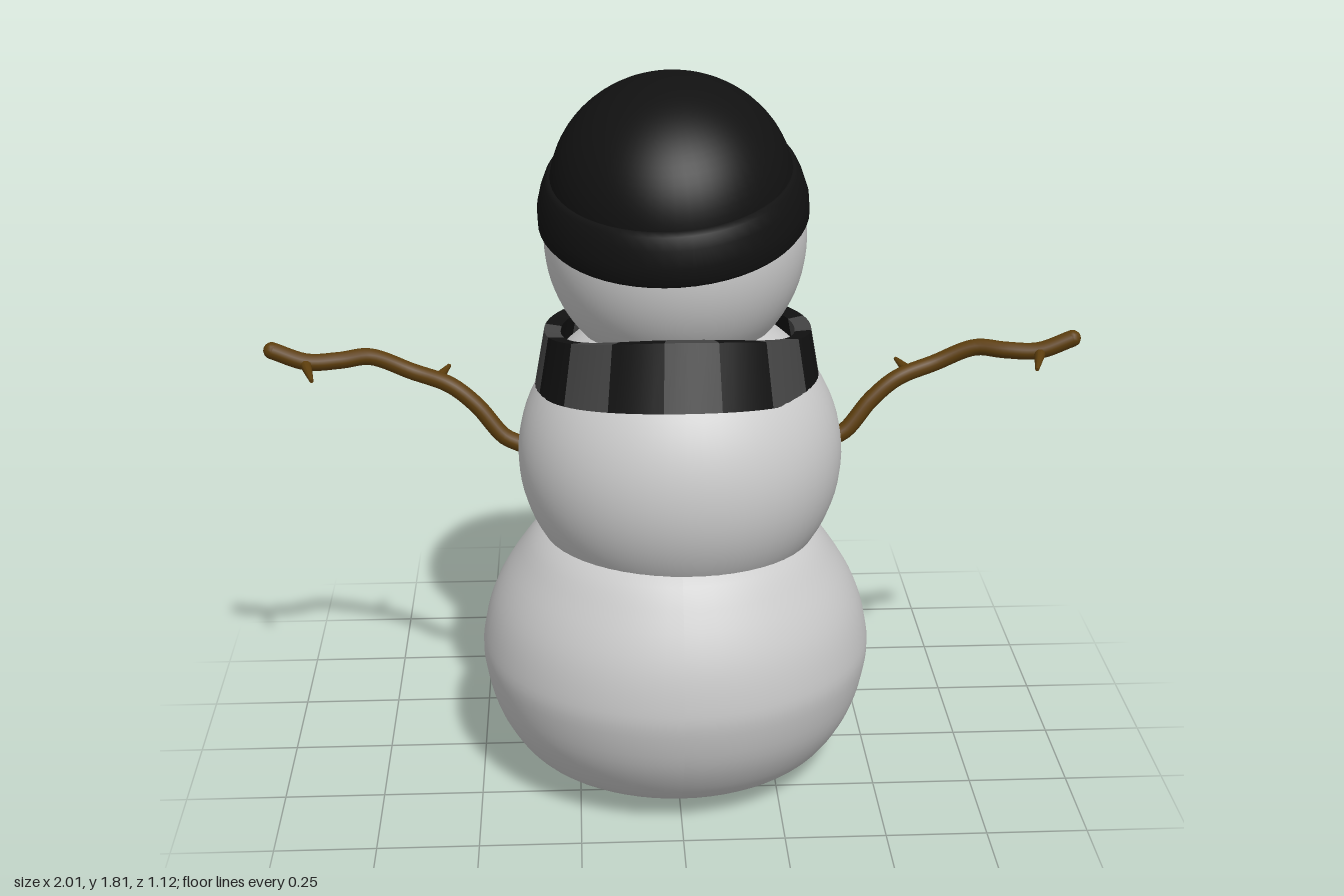
import * as THREE from 'three';
import { toCreasedNormals } from 'three/addons/utils/BufferGeometryUtils.js';

const V = (x, y, z) => new THREE.Vector3(x, y, z);
const paint = (color) => new THREE.MeshStandardMaterial({ color });

export function createModel() {
  const model = new THREE.Group();
  const snow = paint(0xcccccc), black = paint(0x111111), grey = paint(0x444444);
  const wood = paint(0x5c3d0c), carrot = paint(0xe8750a);

  const add = (name, geometry, material, parent = model) => {
    const mesh = new THREE.Mesh(geometry, material);
    mesh.name = name;
    parent.add(mesh);
    return mesh;
  };
  // Move every vertex by a rule
  const deform = (geometry, rule) => {
    const p = geometry.attributes.position, v = V();
    for (let i = 0; i < p.count; i++) {
      rule(v.fromBufferAttribute(p, i));
      p.setXYZ(i, v.x, v.y, v.z);
    }
    geometry.computeVertexNormals();
    return geometry;
  };
  // Closed strip through four-cornered sections
  const loft = (sections) => {
    const pos = [];
    const quad = (a, b, c, d) => [a, b, c, a, c, d].forEach((p) => pos.push(p.x, p.y, p.z));
    for (let i = 0; i < sections.length - 1; i++) {
      const s = sections[i], t = sections[i + 1];
      for (let j = 0; j < 4; j++) quad(s[j], t[j], t[(j + 1) % 4], s[(j + 1) % 4]);
    }
    quad(...sections[0]);
    quad(...[...sections[sections.length - 1]].reverse());
    const g = new THREE.BufferGeometry();
    g.setAttribute('position', new THREE.Float32BufferAttribute(pos, 3));
    return toCreasedNormals(g, 0.7);
  };

  // Base snowball: leaning lathe with a slightly sloped, dished underside
  const basePoints = [[0, 0.06], [0.2, 0.035], [0.3, 0.024], [0.36, 0.045], [0.415, 0.1], [0.465, 0.2], [0.491, 0.32],
    [0.4875, 0.4], [0.46, 0.5], [0.405, 0.6], [0.33, 0.69], [0.2, 0.75], [0, 0.78]];
  const baseCurve = new THREE.SplineCurve(basePoints.map(([r, y]) => new THREE.Vector2(r, y)));
  const baseProfile = baseCurve.getPoints(48).map((p) => p.setX(Math.max(p.x, 0)));
  add('baseSnowball', deform(new THREE.LatheGeometry(baseProfile, 64), (v) => {
    v.z += 0.03 + 0.1 * v.y;
    v.y += 0.06 * (v.z - 0.05) * Math.max(0, 1 - v.y / 0.25);
  }), snow);

  // Body and head snowballs
  const body = add('bodySnowball', new THREE.SphereGeometry(1, 56, 40), snow);
  body.scale.set(0.4, 0.38, 0.392);
  body.position.set(0.01, 0.88, 0.092);
  add('head', deform(new THREE.SphereGeometry(1, 56, 40), (v) => {
    v.set(v.x * 0.317, 1.42 + v.y * (v.y > 0 ? 0.297 : 0.33), 0.055 + v.z * 0.325);
  }), snow);
  const onFace = (x, y, out = 0) => {
    const h = (y - 1.42) / (y > 1.42 ? 0.297 : 0.33);
    return V(x, y, 0.055 - 0.325 * Math.sqrt(1 - (x / 0.317) ** 2 - h * h) - out);
  };

  // Knitted cap: turned-up brim and dome, tilted back
  const hat = new THREE.Group();
  hat.name = 'hat';
  hat.position.set(-0.005, 1.475, 0.082);
  hat.rotation.set(0.2, 0, 0.06);
  hat.scale.x = 0.905;
  model.add(hat);
  const brim = [[0.3, 0.03], [0.33, 0.002], [0.35, 0], [0.358, 0.01], [0.357, 0.05], [0.345, 0.09],
    [0.332, 0.118], [0.322, 0.126], [0.31, 0.124], [0.295, 0.11]];
  add('hatBrim', new THREE.LatheGeometry(brim.map(([r, y]) => new THREE.Vector2(r, y)), 56), black, hat);
  const dome = [];
  for (let i = 0; i <= 20; i++) {
    const a = (i / 20) * Math.PI / 2;
    dome.push(new THREE.Vector2(i === 20 ? 0 : 0.322 * Math.cos(a), 0.08 + 0.262 * Math.sin(a)));
  }
  add('hatDome', new THREE.LatheGeometry(dome, 56), black, hat);

  // Scarf ring: alternating stripes, higher at the rear
  const scarf = new THREE.Group();
  scarf.name = 'scarf';
  model.add(scarf);
  const ringSection = (a) => {
    const s = Math.sin(a), c = Math.cos(a), lift = Math.max(0, c) ** 2;
    const at = (rx, rz, y) => V(0.005 + rx * s, y, 0.08 + rz * c);
    const low = 1.055 + 0.045 * lift, high = 1.195 + 0.06 * lift;
    return [at(0.35, 0.345, low), at(0.325, 0.292, high), at(0.285, 0.255, high - 0.005), at(0.31, 0.305, low + 0.01)];
  };
  const stripes = 16, steps = 5, stripeAngle = (Math.PI * 2) / stripes;
  for (let i = 0; i < stripes; i++) {
    const sections = [];
    for (let k = 0; k <= steps; k++) sections.push(ringSection((i - 0.35 + k / steps) * stripeAngle));
    add('scarfStripe', loft(sections), i % 2 ? black : grey, scarf);
  }

  // Scarf tail: wraps under the chin and hangs over the chest
  const tailPath = new THREE.CatmullRomCurve3([V(0.15, 1.15, -0.205), V(0.05, 1.11, -0.272),
    V(-0.06, 1.04, -0.293), V(-0.125, 0.965, -0.297), V(-0.15, 0.895, -0.285)]);
  const tailSection = (u) => {
    const c = tailPath.getPointAt(u), t = tailPath.getTangentAt(u);
    const n = V(c.x, 0.04, c.z - 0.08).normalize();
    const w = n.clone().cross(t).normalize().multiplyScalar(0.07);
    n.multiplyScalar(0.014);
    const corner = (i, j) => c.clone().addScaledVector(w, i).addScaledVector(n, j);
    return [corner(-1, 1), corner(1, 1), corner(1, -1), corner(-1, -1)];
  };
  [[0, 0.25, grey], [0.25, 0.62, black], [0.62, 1, grey]].forEach(([from, to, material]) => {
    const sections = [];
    for (let k = 0; k <= 8; k++) sections.push(tailSection(from + (to - from) * k / 8));
    add('scarfTail', loft(sections), material, scarf);
  });

  // Carrot nose
  const noseProfile = [[0, 0], [0.04, 0], [0.039, 0.04], [0.03, 0.13], [0.018, 0.23], [0.008, 0.3], [0, 0.31]];
  const nose = add('nose', new THREE.LatheGeometry(noseProfile.map(([r, y]) => new THREE.Vector2(r, y)), 20), carrot);
  nose.position.set(-0.008, 1.402, -0.25);
  nose.rotation.x = -Math.PI / 2;

  // Mouth beads
  for (let i = -4; i <= 4; i++) {
    const bead = add('mouthBead', new THREE.SphereGeometry(0.014, 12, 8), black);
    bead.position.copy(onFace(i * 0.03, 1.243 + 0.0035 * i * i));
  }

  // Branch between two points, tapering to a blunt tip
  const twig = (a, b, radius) => {
    const d = b.clone().sub(a);
    const mesh = add('twig', new THREE.CylinderGeometry(radius * 0.3, radius, d.length(), 10), wood);
    mesh.position.copy(a).addScaledVector(d, 0.5);
    mesh.quaternion.setFromUnitVectors(V(0, 1, 0), d.normalize());
  };

  for (const s of [-1, 1]) {
    // Eyes and brows
    const eye = add('eye', new THREE.SphereGeometry(1, 20, 14), black);
    eye.scale.set(0.034, 0.042, 0.018);
    eye.position.copy(onFace(s * 0.09, 1.472));
    eye.rotation.y = s * 0.3;
    const browPath = new THREE.CatmullRomCurve3([onFace(s * 0.04, 1.518, 0.006),
      onFace(s * 0.09, 1.536, 0.008), onFace(s * 0.145, 1.518, 0.006)]);
    add('brow', new THREE.TubeGeometry(browPath, 12, 0.011, 8), black);

    // Branch arms with rounded ends
    const path = [[0.385, 0.89, 0.065], [0.425, 0.91, 0.062], [0.49, 0.985, 0.045], [0.555, 1.035, 0.03],
      [0.65, 1.065, 0.008], [0.75, 1.108, 0.016], [0.82, 1.11, 0.045], [0.9, 1.113, 0.062],
      [0.982, 1.145, 0.066]].map(([x, y, z]) => V(s * x, y, z));
    add('arm', new THREE.TubeGeometry(new THREE.CatmullRomCurve3(path), 48, 0.021, 12), wood);
    for (const p of [path[0], path[path.length - 1]]) {
      add('armEnd', new THREE.SphereGeometry(0.021, 12, 8), wood).position.copy(p);
    }
    twig(V(s * 0.59, 1.045, 0.02), V(s * 0.56, 1.062, -0.04), 0.016);
    twig(V(s * 0.905, 1.113, 0.062), V(s * 0.88, 1.095, 0.15), 0.016);
  }
  return model;
}
